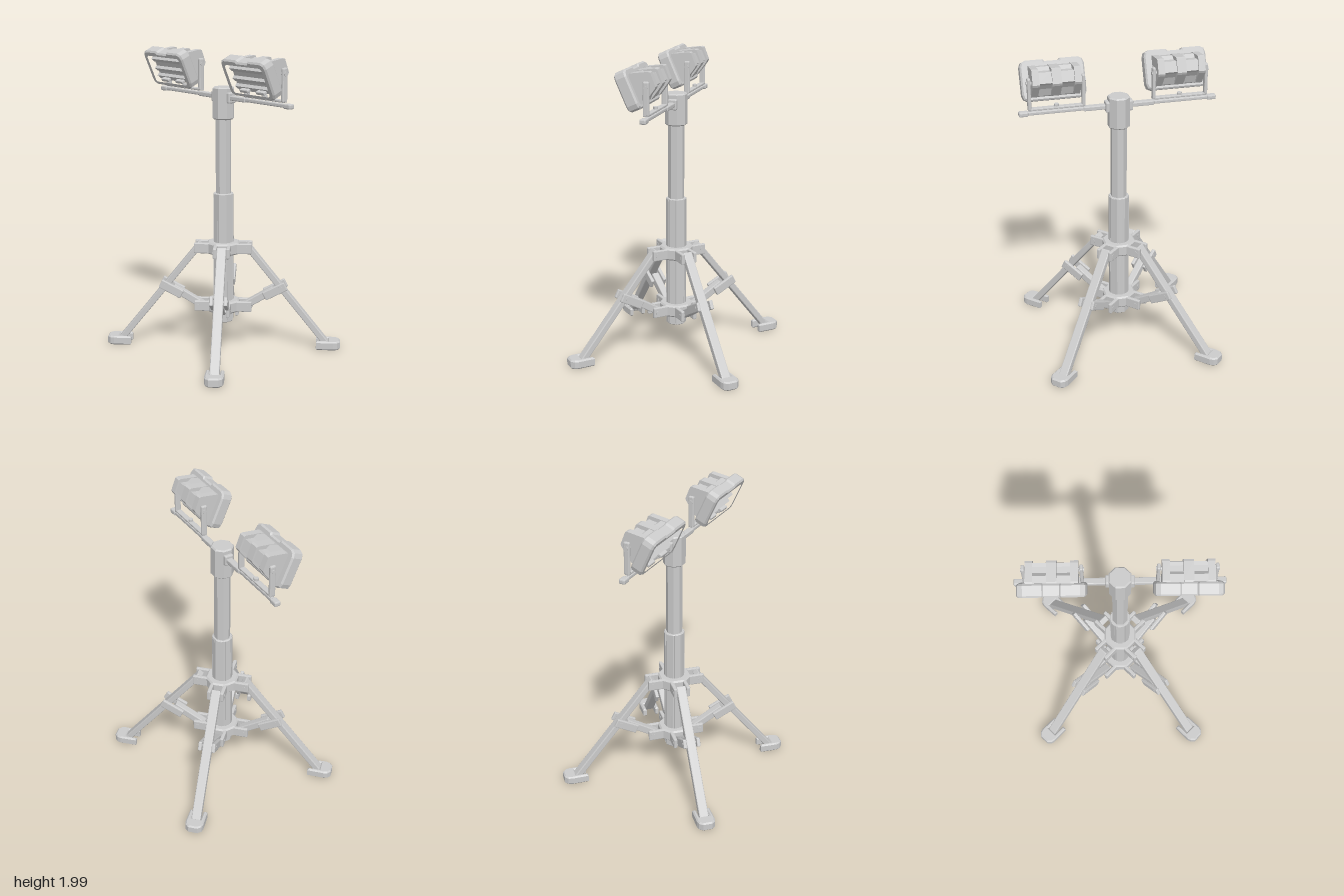
import * as THREE from 'three';
import { RoundedBoxGeometry } from 'three/addons/geometries/RoundedBoxGeometry.js';

const grey = new THREE.MeshStandardMaterial({ color: 0xcccccc, flatShading: true });

function add(parent, name, geo, x = 0, y = 0, z = 0) {
  const m = new THREE.Mesh(geo, grey);
  m.name = name;
  m.position.set(x, y, z);
  parent.add(m);
  return m;
}

// Box with small chamfered edges
const block = (w, h, d, r = 0.006) => new RoundedBoxGeometry(w, h, d, 1, r);

// Eight-sided upright prism with chamfered rims; a = half the width across flats
function octagon(a, y0, y1, c) {
  const k = 1 / Math.cos(Math.PI / 8);
  const pts = [[0, y0], [a - c, y0], [a, y0 + c], [a, y1 - c], [a - c, y1], [0, y1]];
  return new THREE.LatheGeometry(pts.map(([r, y]) => new THREE.Vector2(r * k, y)), 8, Math.PI / 8);
}

const toShape = pts => new THREE.Shape(pts.map(([x, y]) => new THREE.Vector2(x, y)));
const extrude = (shape, depth, bevel) => new THREE.ExtrudeGeometry(shape, {
  depth: depth - 2 * bevel, bevelEnabled: bevel > 0, bevelThickness: bevel,
  bevelSize: bevel, bevelSegments: 1, curveSegments: 4,
}).translate(0, 0, bevel);

// Bar between two (radius, height) points in a leg's own plane
function beam(parent, name, [r0, y0], [r1, y1], w, h, x = 0) {
  const m = add(parent, name, block(w, h, Math.hypot(r1 - r0, y1 - y0)), x, (y0 + y1) / 2, (r0 + r1) / 2);
  m.rotation.x = -Math.atan2(y1 - y0, r1 - r0);
  return m;
}

// One tripod leg, pointing along its own +z
function makeLeg() {
  const g = new THREE.Group();
  g.name = 'tripodLeg';
  beam(g, 'legBar', [0.15, 0.715], [0.695, 0.035], 0.062, 0.042);
  beam(g, 'brace', [0.13, 0.28], [0.34, 0.405], 0.05, 0.05);
  for (const s of [-1, 1]) {
    beam(g, 'braceFork', [0.275, 0.365], [0.42, 0.44], 0.024, 0.06, s * 0.046);
    for (const y of [0.69, 0.29]) add(g, 'hingeLug', block(0.025, 0.07, 0.105), s * 0.044, y, 0.14);
  }
  add(g, 'forkPin', new THREE.CylinderGeometry(0.014, 0.014, 0.12, 8).rotateZ(Math.PI / 2), 0, 0.425, 0.385);
  for (const y of [0.69, 0.29]) {
    add(g, 'hingePin', new THREE.CylinderGeometry(0.014, 0.014, 0.118, 8).rotateZ(Math.PI / 2), 0, y, 0.165);
  }

  // U-shaped foot, open towards the mast
  const half = [[0.042, 0.715], [0.042, 0.635], [0.05, 0.635], [0.052, 0.74], [0.046, 0.762], [0.028, 0.778]];
  const outline = [...half, ...half.map(([x, r]) => [-x, r]).reverse()];
  add(g, 'foot', extrude(toShape(outline), 0.06, 0.009).rotateX(Math.PI / 2), 0, 0.06, 0);
  return g;
}

// One floodlight with its yoke, centred on x = 0
function makeLamp() {
  const g = new THREE.Group();
  g.name = 'floodlight';
  const head = new THREE.Group();
  head.name = 'lampHead';
  head.position.set(0, 1.863, 0.116);
  head.rotation.x = 0.42;
  g.add(head);

  // Front frame with cut corners, a notched top and a window
  const half = [[0.05, 0.106], [0.06, 0.118], [0.165, 0.118], [0.187, 0.108], [0.195, 0.085],
    [0.195, -0.085], [0.187, -0.108], [0.165, -0.118]];
  const frame = toShape([...half, ...half.map(([x, y]) => [-x, y]).reverse()]);
  const hole = [[-0.168, -0.09], [-0.168, 0.08], [-0.155, 0.093], [0.155, 0.093], [0.168, 0.08],
    [0.168, -0.09], [0.155, -0.103], [-0.155, -0.103]];
  frame.holes.push(new THREE.Path(hole.map(([x, y]) => new THREE.Vector2(x, y))));
  add(head, 'lampFrame', extrude(frame, 0.08, 0.01), 0, 0, -0.04);
  add(head, 'lampPanel', new THREE.BoxGeometry(0.345, 0.215, 0.025), 0, -0.005, -0.022);
  for (const y of [0.05, -0.02, -0.075]) {
    const slat = add(head, 'louvre', new THREE.BoxGeometry(0.325, 0.032, 0.022), 0, y, 0.002);
    slat.rotation.x = 0.5;
  }
  for (const s of [-1, 1]) add(head, 'windowTooth', block(0.075, 0.022, 0.03), s * 0.075, -0.088, 0.022);

  // Tapered rear housing: three full ribs with two shallower pockets between
  const full = [[-0.03, -0.105], [-0.03, 0.093], [-0.05, 0.092], [-0.16, 0.06], [-0.172, 0.05],
    [-0.168, -0.04], [-0.155, -0.052], [-0.06, -0.105]];
  const pocket = [[-0.03, -0.105], [-0.03, 0.09], [-0.085, 0.079], [-0.1, 0.052], [-0.135, 0.042],
    [-0.158, 0.038], [-0.158, -0.032], [-0.135, -0.04], [-0.1, -0.06], [-0.06, -0.1]];
  const slice = (name, pts, x, w) => add(head, name,
    extrude(toShape(pts), w, 0).rotateY(-Math.PI / 2).translate(w / 2, 0, 0), x);
  for (const x of [-0.133, 0, 0.133]) slice('housingRib', full, x, x ? 0.044 : 0.06);
  for (const x of [-0.0705, 0.0705]) slice('housingPocket', pocket, x, 0.085);

  // Yoke
  for (const s of [-1, 1]) {
    add(g, 'yokeArm', block(0.022, 0.21, 0.04, 0.008), s * 0.172, 1.822, 0);
    add(g, 'yokePivot', new THREE.CylinderGeometry(0.014, 0.014, 0.045, 8).rotateZ(Math.PI / 2), s * 0.165, 1.89, 0);
  }
  add(g, 'yokeBase', block(0.365, 0.015, 0.036, 0.004), 0, 1.722, 0);
  add(g, 'yokeBolt', new THREE.CylinderGeometry(0.016, 0.016, 0.03, 8), 0, 1.73, 0);
  return g;
}

export function createModel() {
  const model = new THREE.Group();
  model.name = 'tripodWorkLight';

  // Mast
  add(model, 'lowerMast', octagon(0.062, 0.18, 1.06, 0.004));
  add(model, 'upperMast', octagon(0.049, 1.04, 1.58, 0.003));
  add(model, 'mastCap', octagon(0.068, 1.55, 1.76, 0.008));
  for (const y of [0.65, 0.25]) add(model, 'collar', octagon(0.106, y, y + 0.08, 0.01));
  for (let i = 0; i < 8; i++) {
    const a = i * Math.PI / 4;
    const strip = add(model, 'mastRib', new THREE.BoxGeometry(0.03, 0.86, 0.008), Math.sin(a) * 0.062, 0.625, Math.cos(a) * 0.062);
    strip.rotation.y = a;
  }

  // Legs on the four diagonals
  for (let i = 0; i < 4; i++) {
    const leg = makeLeg();
    leg.rotation.y = Math.PI / 4 + i * Math.PI / 2;
    model.add(leg);
  }

  // Crossbar and lights on both sides
  add(model, 'crossbar', block(1.18, 0.024, 0.03), 0, 1.696, 0);
  for (const s of [-1, 1]) {
    add(model, 'crossbarSocket', block(0.035, 0.07, 0.06, 0.008), s * 0.072, 1.695, 0);
    add(model, 'crossbarSleeve', block(0.15, 0.03, 0.042), s * 0.155, 1.695, 0);
    add(model, 'crossbarEnd', block(0.06, 0.032, 0.042, 0.008), s * 0.612, 1.695, 0);
    const lamp = makeLamp();
    lamp.position.x = s * 0.4;
    model.add(lamp);
  }
  return model;
}
